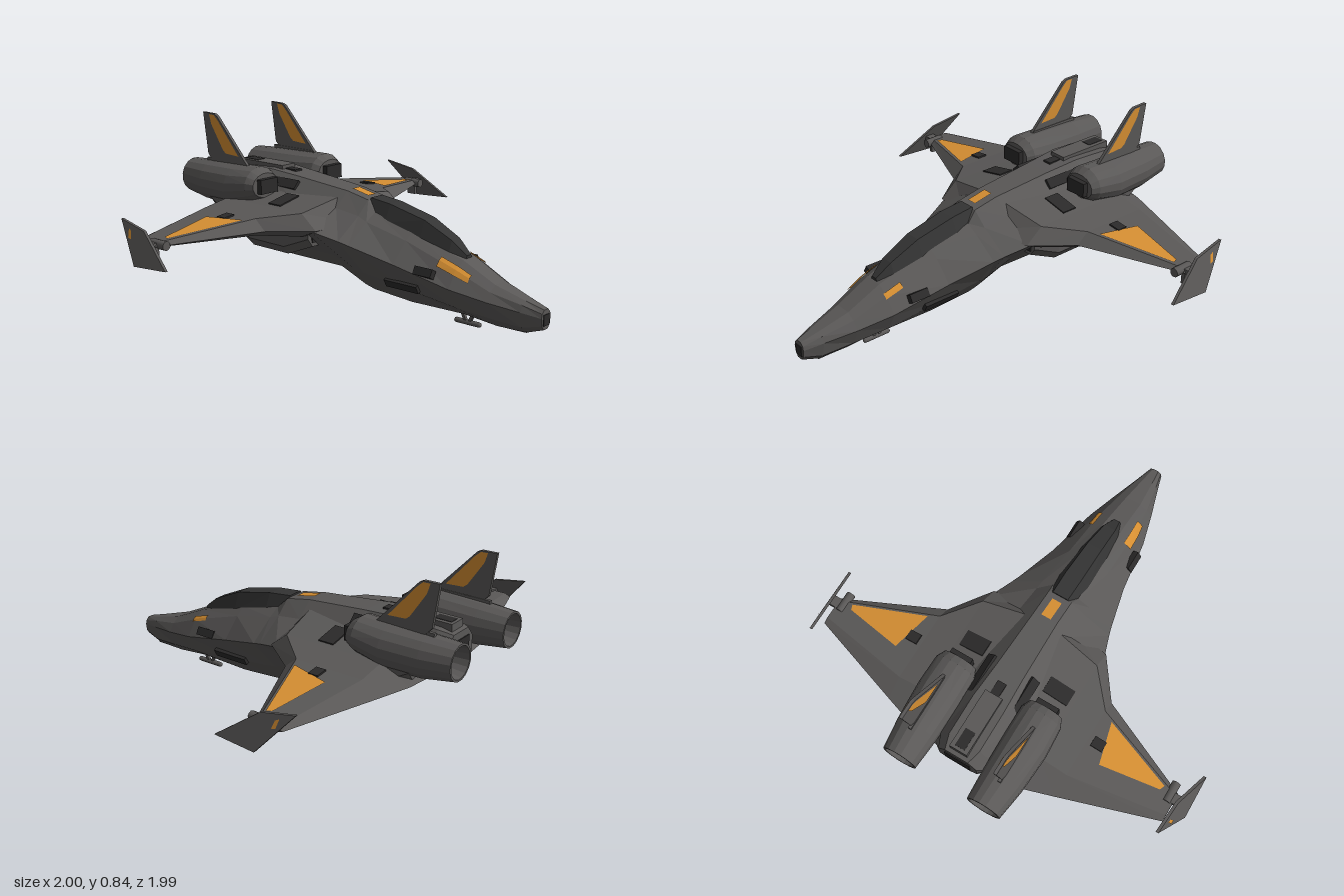
import * as THREE from 'three';

const V = (x, y, z) => new THREE.Vector3(x, y, z);
const mat = (name, color, side = THREE.FrontSide) => {
  const m = new THREE.MeshStandardMaterial({ color, side });
  m.name = name;
  return m;
};

// Faceted solid through equal-length closed rings, capped, always facing outwards
function loft(rings) {
  const tris = [];
  const n = rings[0].length;
  for (let i = 0; i < rings.length - 1; i++) {
    for (let j = 0; j < n; j++) {
      const k = (j + 1) % n;
      const [a, b, c, d] = [rings[i][j], rings[i][k], rings[i + 1][k], rings[i + 1][j]];
      tris.push([a, b, c], [a, c, d]);
    }
  }
  const first = rings[0], last = rings[rings.length - 1];
  for (let j = 1; j < n - 1; j++) {
    tris.push([first[0], first[j + 1], first[j]], [last[0], last[j], last[j + 1]]);
  }
  let volume = 0;
  for (const [a, b, c] of tris) volume += a.dot(b.clone().cross(c));
  const pts = tris.flatMap(([a, b, c]) => (volume < 0 ? [a, c, b] : [a, b, c]));
  return faceted(pts);
}

function faceted(points) {
  const g = new THREE.BufferGeometry().setFromPoints(points);
  g.computeVertexNormals();
  return g;
}

// Flat plate from a corner loop, and a thick slab of the same kind
const plate = (p) => faceted(p.slice(1, -1).flatMap((q, i) => [p[0], q, p[i + 2]]));
const slab = (p, t) => loft([-t, t].map((o) => p.map((q) => V(q.x + o, q.y, q.z))));

// Hull stations: z, then x,y of top, shoulder, chine, lower side and keel
const HULL = [
  [0.99, 0.015, 0.16, 0.03, 0.145, 0.035, 0.125, 0.03, 0.09, 0.015, 0.07],
  [0.9, 0.025, 0.185, 0.05, 0.17, 0.062, 0.14, 0.05, 0.07, 0.02, 0.04],
  [0.75, 0.04, 0.23, 0.08, 0.205, 0.108, 0.165, 0.075, 0.085, 0.025, 0.04],
  [0.58, 0.045, 0.31, 0.1, 0.275, 0.155, 0.2, 0.11, 0.11, 0.035, 0.06],
  [0.3, 0.06, 0.4, 0.11, 0.365, 0.2, 0.27, 0.13, 0.15, 0.06, 0.065],
  [0.08, 0.07, 0.455, 0.13, 0.42, 0.255, 0.33, 0.15, 0.18, 0.07, 0.085],
  [0.03, 0.06, 0.505, 0.13, 0.44, 0.27, 0.345, 0.155, 0.19, 0.075, 0.1],
  [-0.1, 0.06, 0.53, 0.14, 0.46, 0.315, 0.38, 0.165, 0.24, 0.1, 0.17],
  [-0.42, 0.07, 0.56, 0.15, 0.49, 0.33, 0.39, 0.18, 0.25, 0.12, 0.18],
  [-0.6, 0.08, 0.575, 0.15, 0.5, 0.32, 0.4, 0.18, 0.31, 0.1, 0.27],
  [-0.8, 0.08, 0.565, 0.13, 0.5, 0.2, 0.43, 0.15, 0.4, 0.08, 0.38],
  [-0.87, 0.06, 0.55, 0.1, 0.5, 0.1, 0.45, 0.1, 0.42, 0.06, 0.4],
];

// Point on the hull at z, u counting along the section from its top corner
function hullPoint(z, u, s) {
  const i = HULL.findIndex((h, k) => z <= h[0] && z >= HULL[k + 1][0]);
  const a = HULL[i], b = HULL[i + 1], t = (a[0] - z) / (a[0] - b[0]);
  const at = (k) => a[k] + (b[k] - a[k]) * t;
  const f = Math.min(3, Math.floor(u)), r = u - f;
  const x = at(1 + f * 2) * (1 - r) + at(3 + f * 2) * r;
  const y = at(2 + f * 2) * (1 - r) + at(4 + f * 2) * r;
  return V(s * (x + 0.004), y + 0.005, z);
}

// Wing stations: x, leading z, trailing z, top y, bottom y
const WING = [
  [0.1, -0.03, -0.85, 0.5, 0.34],
  [0.31, -0.07, -0.815, 0.455, 0.345],
  [0.45, -0.26, -0.77, 0.43, 0.35],
  [0.92, -0.47, -0.615, 0.375, 0.355],
];
const wingTop = (x) => 0.43 - ((x - 0.45) * 0.055) / 0.47;
const wingBottom = (x) => 0.35 + ((x - 0.45) * 0.005) / 0.47;

export function createModel() {
  const model = new THREE.Group();
  model.name = 'starfighter';
  const grey = mat('hull grey', 0x5a5857);
  const glass = mat('canopy dark', 0x343434);
  const dark = mat('recess dark', 0x2b2a2a);
  const orange = mat('marking orange', 0xd68f32, THREE.DoubleSide);

  const add = (name, geometry, material, x = 0, y = 0, z = 0, rz = 0, rx = 0) => {
    const m = new THREE.Mesh(geometry, material);
    m.name = name;
    m.position.set(x, y, z);
    m.rotation.set(rx, 0, rz);
    model.add(m);
    return m;
  };
  const box = (name, w, h, d, material, ...at) =>
    add(name, new THREE.BoxGeometry(w, h, d), material, ...at);

  // Fuselage
  add('fuselage', loft(HULL.map((h) => {
    const half = [0, 1, 2, 3, 4].map((k) => V(h[1 + k * 2], h[2 + k * 2], h[0]));
    return [...half, ...half.map((p) => V(-p.x, p.y, p.z)).reverse()];
  })), grey);

  // Canopy: z, base half-width, base y, top half-width, top y
  add('canopy', loft([
    [0.575, 0.03, 0.29, 0.015, 0.325],
    [0.5, 0.055, 0.32, 0.03, 0.385],
    [0.35, 0.07, 0.37, 0.038, 0.455],
    [0.15, 0.08, 0.42, 0.042, 0.5],
    [0.03, 0.07, 0.45, 0.04, 0.513],
  ].map(([z, w, y, v, t]) => [V(-w, y, z), V(w, y, z), V(v, t, z), V(-v, t, z)])), glass);

  // Spine details
  add('spineMarking', plate([V(-0.025, 0.516, 0), V(0.025, 0.516, 0),
    V(0.025, 0.536, -0.1), V(-0.025, 0.536, -0.1)]), orange);
  box('spineHousing', 0.09, 0.04, 0.3, grey, 0, 0.57, -0.7);
  box('spineVent', 0.045, 0.012, 0.1, dark, 0, 0.568, -0.53);
  box('spineRearVent', 0.05, 0.012, 0.09, dark, 0, 0.586, -0.79);
  box('tailVent', 0.13, 0.07, 0.008, dark, 0, 0.48, -0.871);

  // Nose opening and ventral skid
  box('noseOpening', 0.042, 0.05, 0.008, dark, 0, 0.113, 0.99);
  box('chinHousing', 0.05, 0.035, 0.1, grey, 0, 0.06, 0.86);
  add('skid', new THREE.CapsuleGeometry(0.012, 0.125, 4, 10), grey, 0, 0.012, 0.575, 0, Math.PI / 2);
  for (const z of [0.6, 0.55]) {
    box('skidStrut', 0.014, 0.06, 0.014, grey, 0, 0.045, z, 0, z > 0.57 ? 0.45 : -0.45);
  }

  for (const s of [1, -1]) {
    const side = s > 0 ? 'left' : 'right';
    const pt = (x, y, z) => V(s * x, y, z);

    // Wing with flat top and bottom between its sharp edges
    add(side + 'Wing', loft(WING.map(([x, l, t, top, bot]) => {
      const at = (f, y) => pt(x, y, l + (t - l) * f);
      const mid = bot + (top - bot) * 0.35;
      return [at(0, mid), at(0.12, top), at(0.8, top), at(1, mid), at(0.8, bot), at(0.12, bot)];
    })), grey);
    add(side + 'WingMarking', plate([[0.55, -0.55], [0.84, -0.5], [0.85, -0.475], [0.5, -0.35]]
      .map(([x, z]) => pt(x, wingTop(x) + 0.004, z))), orange);
    add(side + 'WingLowerMarking', plate([[0.5, -0.49], [0.82, -0.5], [0.82, -0.55], [0.5, -0.57]]
      .map(([x, z]) => pt(x, wingBottom(x) - 0.004, z))), orange);
    box(side + 'WingVent', 0.06, 0.012, 0.05, dark, s * 0.5, 0.426, -0.47, -s * 0.12);

    // Wingtip pod and canted winglet
    add(side + 'TipPod', new THREE.CylinderGeometry(0.022, 0.022, 0.1, 10), grey,
      s * 0.89, 0.367, -0.48, 0, Math.PI / 2);
    box(side + 'TipBracket', 0.08, 0.025, 0.05, grey, s * 0.92, 0.365, -0.5);
    box(side + 'TipCannon', 0.018, 0.06, 0.05, grey, s * 0.905, 0.33, -0.5);
    const tipX = (y) => 0.925 + (0.46 - y) * 0.36;
    add(side + 'Winglet', slab([[-0.32, 0.29], [-0.53, 0.277], [-0.69, 0.46], [-0.52, 0.43]]
      .map(([z, y]) => pt(tipX(y), y, z)), 0.007), grey);
    add(side + 'WingletMarking', plate([[-0.59, 0.385], [-0.61, 0.39], [-0.62, 0.43], [-0.6, 0.42]]
      .map(([z, y]) => pt(tipX(y) + 0.01, y, z))), orange);

    // Engine, hollow at the back: z, centre x, centre y, radii
    const engine = [
      [-0.48, 0.228, 0.53, 0.085, 0.06], [-0.52, 0.228, 0.53, 0.103, 0.085],
      [-0.66, 0.23, 0.51, 0.108, 0.103], [-0.85, 0.226, 0.508, 0.1, 0.1],
      [-1, 0.22, 0.515, 0.085, 0.085], [-1, 0.22, 0.515, 0.075, 0.075],
      [-0.88, 0.22, 0.515, 0.055, 0.055],
    ];
    add(side + 'Engine', loft(engine.map(([z, cx, cy, rx, ry]) =>
      Array.from({ length: 16 }, (_, i) => {
        const a = ((i + 0.5) * Math.PI) / 8;
        return pt(cx + Math.cos(a) * rx, cy + Math.sin(a) * ry, z);
      }))), grey);
    box(side + 'EngineIntake', 0.11, 0.07, 0.03, dark, s * 0.228, 0.53, -0.468);
    add(side + 'ExhaustCore', new THREE.CylinderGeometry(0.057, 0.057, 0.008, 16), dark,
      s * 0.22, 0.515, -0.884, 0, Math.PI / 2);
    box(side + 'EngineRib', 0.016, 0.02, 0.28, grey, s * 0.232, 0.61, -0.74);

    // Tail fin with a marking on both faces
    add(side + 'TailFin', slab([[-0.59, 0.61], [-0.8, 0.833], [-0.82, 0.843], [-0.9, 0.845],
      [-0.87, 0.64], [-0.83, 0.6]].map(([z, y]) => pt(0.235, y, z)), 0.008), grey);
    for (const o of [-0.01, 0.01]) {
      add(side + 'FinMarking', plate([[-0.65, 0.65], [-0.79, 0.81], [-0.82, 0.837],
        [-0.855, 0.838], [-0.84, 0.79], [-0.76, 0.67], [-0.74, 0.655]]
        .map(([z, y]) => pt(0.235 + o, y, z))), orange);
    }

    // Underwing intake duct: z, inner x, outer x, bottom y, top y
    add(side + 'IntakeDuct', loft([
      [-0.14, 0.15, 0.29, 0.29, 0.38], [-0.27, 0.15, 0.32, 0.24, 0.4],
      [-0.5, 0.14, 0.325, 0.245, 0.43], [-0.8, 0.13, 0.3, 0.4, 0.46],
    ].map(([z, a, b, lo, hi]) => [pt(a, lo, z), pt(b - 0.03, lo, z), pt(b, lo + 0.04, z),
      pt(b, hi, z), pt(a, hi, z)])), grey);
    box(side + 'IntakeMouth', 0.08, 0.05, 0.008, dark, s * 0.225, 0.335, -0.138);

    // Dark vents on the shoulders and flanks
    box(side + 'ShoulderVent', 0.13, 0.014, 0.08, dark, s * 0.225, 0.472, -0.36, -s * 0.21);
    box(side + 'EngineSideVent', 0.05, 0.014, 0.2, dark, s * 0.115, 0.525, -0.48, -s * 0.8);
    box(side + 'FlankVent', 0.03, 0.04, 0.19, dark, s * 0.142, 0.167, 0.31, -s * 0.5);
    box(side + 'CheekVent', 0.03, 0.04, 0.1, dark, s * 0.163, 0.255, 0.45, s * 0.5);

    // Nose markings, longer on the right
    const zs = s < 0 ? [0.65, 0.58, 0.49] : [0.59, 0.58, 0.5];
    const us = s < 0 ? [0.65, 1, 1.3] : [0.75, 1, 1.15];
    for (let i = 0; i < 2; i++) {
      for (let j = 0; j < 2; j++) {
        add(side + 'NoseMarking', plate([[i, j], [i + 1, j], [i + 1, j + 1], [i, j + 1]]
          .map(([a, b]) => hullPoint(zs[a], us[b], s))), orange);
      }
    }
  }
  return model;
}
